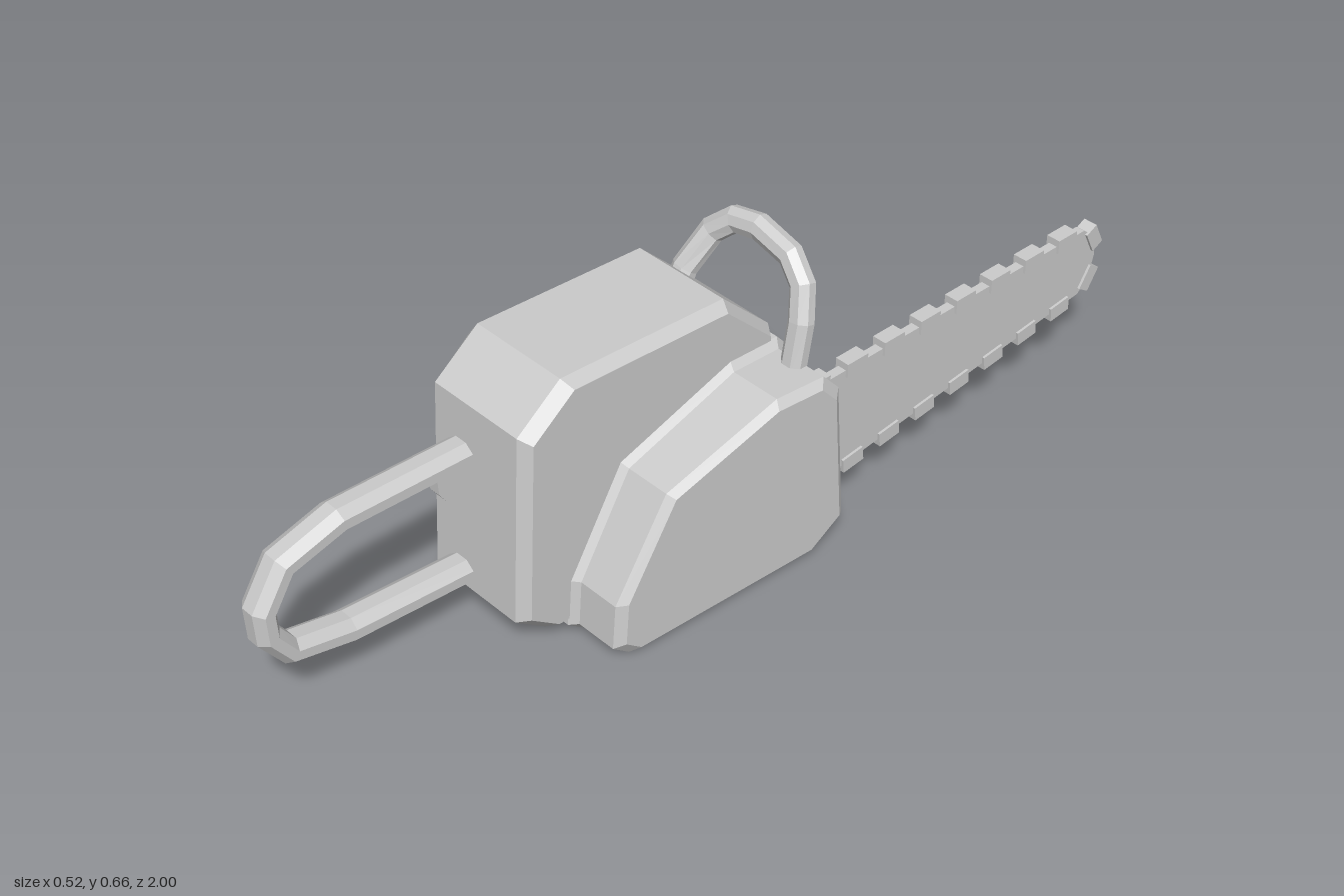
import * as THREE from 'three';

const material = new THREE.MeshStandardMaterial({ color: 0xcccccc, flatShading: true });

// Closed skin through rings of [x, y, z] points, capped at both ends
function loft(name, rings) {
  const n = rings[0].length;
  const tris = [];
  for (let r = 0; r < rings.length - 1; r++) {
    for (let i = 0; i < n; i++) {
      const j = (i + 1) % n;
      const [a, b, c, d] = [rings[r][i], rings[r][j], rings[r + 1][j], rings[r + 1][i]];
      tris.push([a, b, c], [a, c, d]);
    }
  }
  const cap = (ring, flip) => {
    const mid = [0, 1, 2].map((k) => ring.reduce((s, p) => s + p[k], 0) / n);
    ring.forEach((p, i) => {
      const q = ring[(i + 1) % n];
      tris.push(flip ? [mid, q, p] : [mid, p, q]);
    });
  };
  cap(rings[0], true);
  cap(rings[rings.length - 1], false);

  // A negative volume means the corners run the wrong way round
  const vec = (p) => new THREE.Vector3(...p);
  const volume = tris.reduce((s, [a, b, c]) => s + vec(a).dot(vec(b).cross(vec(c))), 0);
  if (volume < 0) tris.forEach((t) => t.reverse());

  const geometry = new THREE.BufferGeometry();
  geometry.setAttribute('position', new THREE.Float32BufferAttribute(tris.flat(2), 3));
  geometry.computeVertexNormals();
  const mesh = new THREE.Mesh(geometry, material);
  mesh.name = name;
  return mesh;
}

// Eight-sided bar along a path; "side" is roughly normal to the plane of the path
function bar(name, path, side, sideRadius, depthRadius) {
  const points = path.map((p) => new THREE.Vector3(...p));
  const rings = points.map((p, i) => {
    const before = points[Math.max(i - 1, 0)];
    const after = points[Math.min(i + 1, points.length - 1)];
    const inDir = p.clone().sub(before).normalize();
    const outDir = after.clone().sub(p).normalize();
    const tangent = inDir.add(outDir).normalize();
    const u = side.clone().addScaledVector(tangent, -side.dot(tangent)).normalize();
    const v = tangent.clone().cross(u);
    return Array.from({ length: 8 }, (_, k) => {
      const a = ((k + 0.5) * Math.PI) / 4;
      return p.clone().addScaledVector(u, Math.cos(a) * sideRadius)
        .addScaledVector(v, Math.sin(a) * depthRadius).toArray();
    });
  });
  return loft(name, rings);
}

// Side profile [z, y] placed at x, scaled about a centre
const place = (profile, x, scale = 1, cz = 0.15, cy = 0.23) =>
  profile.map(([z, y]) => {
    const pz = cz + (z - cz) * scale;
    return [typeof x === 'function' ? x(pz) : x, cy + (y - cy) * scale, pz];
  });

// Flat plate from a [z, y] outline, between two x positions
function plate(name, outline, x0, x1) {
  const shape = new THREE.Shape(outline.map(([z, y]) => new THREE.Vector2(-z, y)));
  const geometry = new THREE.ExtrudeGeometry(shape, { depth: x1 - x0, bevelEnabled: false });
  geometry.rotateY(Math.PI / 2).translate(x0, 0, 0);
  const mesh = new THREE.Mesh(geometry, material);
  mesh.name = name;
  return mesh;
}

export function createModel() {
  const group = new THREE.Group();
  group.name = 'chainsaw';

  // Engine housing: chamfered block with a raised panel on its left-hand end
  const body = [[0.40, 0.585], [0, 0.565], [-0.12, 0.45], [-0.14, 0.08],
    [-0.08, 0.022], [0.46, 0.03], [0.53, 0.083], [0.505, 0.505]];
  const shoulder = [[0.36, 0.50], [0.02, 0.485], [-0.06, 0.40], [-0.07, 0.16],
    [-0.02, 0.08], [0.38, 0.08], [0.455, 0.20], [0.445, 0.43]];
  const panel = [[0.30, 0.39], [0.12, 0.385], [0.05, 0.32], [0.05, 0.25],
    [0.12, 0.18], [0.31, 0.18], [0.38, 0.225], [0.37, 0.33]];
  group.add(loft('engineHousing', [
    place(panel, -0.26), place(shoulder, -0.23), place(body, -0.15),
    place(body, 0.08), place(body, 0.105, 0.945, 0.18, 0.26),
  ]));

  // Clutch cover: outer face narrows toward the front
  const cover = [[0.008, 0.42], [-0.11, 0.415], [-0.15, 0.37], [-0.172, 0.053], [-0.094, 0],
    [0.37, 0], [0.408, 0.03], [0.40, 0.13], [0.276, 0.335]];
  const rim = (z) => 0.24 - 0.05 * (z + 0.1);
  group.add(loft('clutchCover', [
    place(cover, 0.07, 1.05, 0.12, 0.12), place(cover, 0.103, 1.05, 0.12, 0.12),
    place(cover, 0.12), place(cover, rim),
    place(cover, (z) => rim(z) + 0.017, 0.93, 0.14, 0.2),
  ]));

  // Guide bar
  const edge = [[-0.10, 0.34], [-0.94, 0.338], [-0.97, 0.315], [-0.983, 0.26],
    [-0.972, 0.215], [-0.94, 0.178], [-0.10, 0.09]];
  group.add(plate('guideBar', edge, 0.167, 0.188));

  // Chain teeth at even steps around the bar edge
  const teeth = new THREE.Group();
  teeth.name = 'chainTeeth';
  const track = new THREE.CurvePath();
  for (let i = 0; i < edge.length - 1; i++) {
    track.add(new THREE.LineCurve(new THREE.Vector2(...edge[i]), new THREE.Vector2(...edge[i + 1])));
  }
  const length = track.getLength();
  const count = Math.round(length / 0.104);
  const toothGeometry = new THREE.BoxGeometry(0.033, 0.032, 0.056);
  for (let i = 0; i < count; i++) {
    const t = (i + 0.5) / count;
    const p = track.getPoint(t);
    const a = track.getPoint(Math.max(t - 0.012, 0));
    const b = track.getPoint(Math.min(t + 0.012, 1));
    const tooth = new THREE.Mesh(toothGeometry, material);
    tooth.name = 'tooth';
    tooth.position.set(0.177, p.y, p.x);
    tooth.rotation.x = -Math.atan2(b.y - a.y, b.x - a.x);
    teeth.add(tooth);
  }
  group.add(teeth);

  // Rear handle loop
  const rear = [[0.47, 0.39], [0.80, 0.401], [0.925, 0.368], [0.975, 0.29],
    [0.972, 0.23], [0.93, 0.17], [0.80, 0.14], [0.47, 0.115]];
  group.add(bar('rearHandle', rear.map(([z, y]) => [-0.077, y, z]),
    new THREE.Vector3(1, 0, 0), 0.038, 0.028));

  // Trigger under the upper arm of the rear handle
  group.add(plate('trigger', [[0.58, 0.38], [0.577, 0.33], [0.56, 0.305], [0.525, 0.29],
    [0.53, 0.32], [0.515, 0.345], [0.49, 0.38]], -0.09, -0.064));

  // Top handle arching from the housing to the cover
  group.add(bar('topHandle', [[0.17, 0.38, -0.095], [0.168, 0.50, -0.12], [0.15, 0.565, -0.14],
    [0.105, 0.605, -0.152], [0.017, 0.624, -0.156], [-0.045, 0.614, -0.152],
    [-0.09, 0.575, -0.135], [-0.115, 0.50, -0.085], [-0.115, 0.43, -0.05]],
  new THREE.Vector3(0, 0.35, 1), 0.024, 0.028));

  return group;
}
